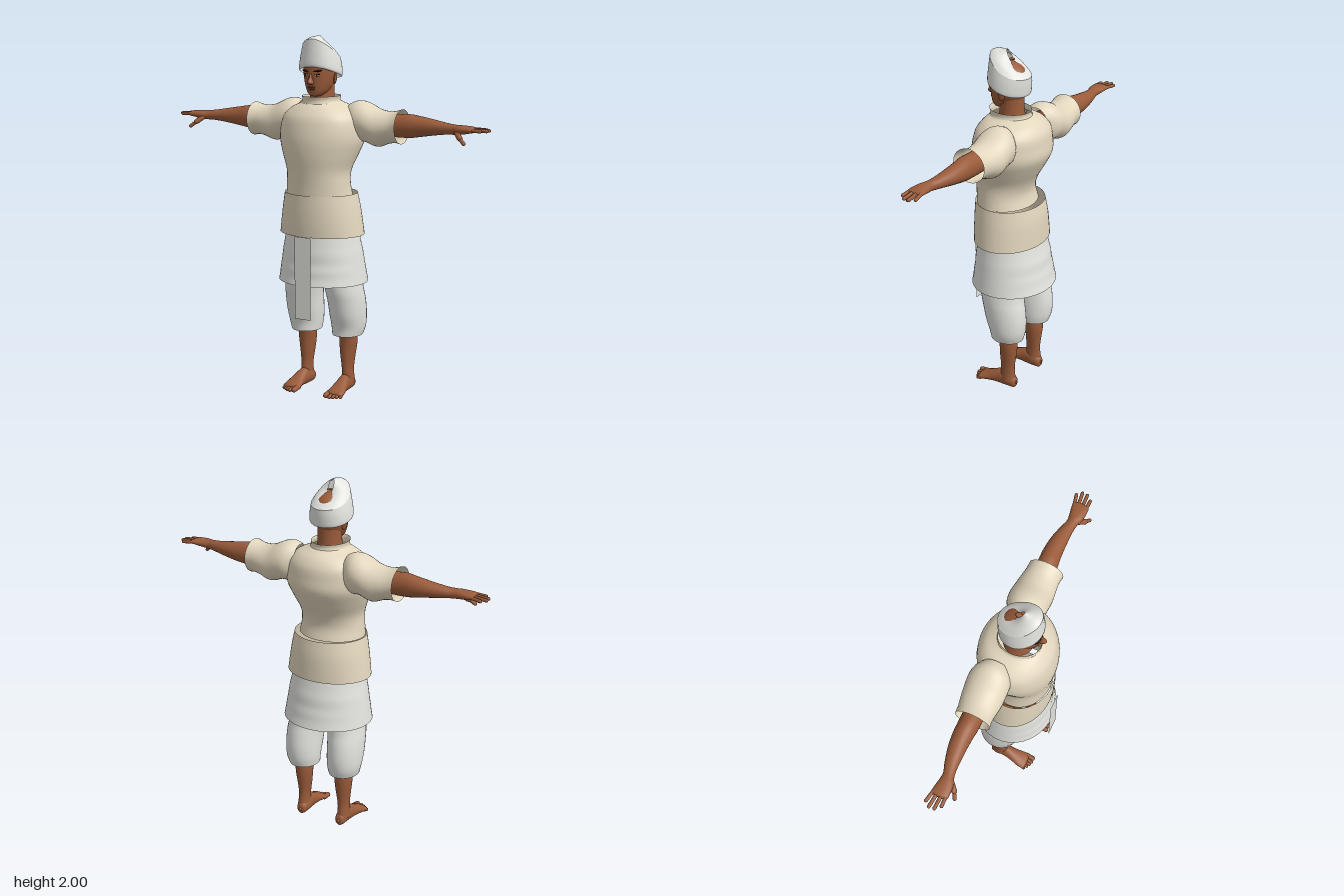
import * as THREE from 'three';

const mat = (name, color) => {
  const m = new THREE.MeshStandardMaterial({ color, side: THREE.DoubleSide });
  m.name = name;
  return m;
};

// Catmull-Rom between whole rings
function smoothRings(rings, steps) {
  const out = [], n = rings.length - 1;
  for (let i = 0; i < n; i++) {
    const [p, q, r, s] = [i - 1, i, i + 1, i + 2].map(k => rings[Math.min(n, Math.max(0, k))]);
    for (let j = 0; j < steps; j++) {
      const t = j / steps;
      out.push(q.map((b, k) => b + 0.5 * t * ((r[k] - p[k])
        + t * (2 * p[k] - 5 * b + 4 * r[k] - s[k] + t * (3 * (b - r[k]) + s[k] - p[k])))));
    }
  }
  out.push(rings[n]);
  return out;
}

// Skin of elliptical rings [t, cu, cv, ru, rv, tilt, bow]; the axis t runs along y, x or z
function loft(rings, { axis = 'y', steps = 4, seg = 32 } = {}) {
  const rows = smoothRings(rings, steps), pos = [], idx = [];
  rows.forEach(([t, cu, cv, ru, rv, tilt = 0, bow = 0], r) => {
    for (let i = 0; i < seg; i++) {
      const a = i / seg * Math.PI * 2, c = Math.cos(a);
      const u = cu + Math.max(ru, 0.0005) * Math.sin(a), v = cv + Math.max(rv, 0.0005) * c;
      const w = t + tilt * c + bow * c * c;
      if (axis === 'y') pos.push(u, w, v);
      else if (axis === 'x') pos.push(w, v, u);
      else pos.push(v, u, w);
      if (r < rows.length - 1) {
        const A = r * seg + i, B = r * seg + (i + 1) % seg;
        idx.push(A, B, B + seg, A, B + seg, A + seg);
      }
    }
  });
  const g = new THREE.BufferGeometry();
  g.setAttribute('position', new THREE.Float32BufferAttribute(pos, 3));
  g.setIndex(idx);
  g.computeVertexNormals();
  return g;
}

export function createModel() {
  const skin = mat('skin', 0x9a5b3a), cream = mat('cream cloth', 0xe2d6bd);
  const white = mat('white cloth', 0xe2e2de), dark = mat('dark hair', 0x1e1410);
  const lip = mat('lips', 0x7d4530), eyeWhite = mat('eye white', 0xd8cfc4);
  const root = new THREE.Group();

  const add = (parent, name, geo, material) => {
    const m = new THREE.Mesh(geo, material);
    m.name = name;
    parent.add(m);
    return m;
  };
  const blob = (parent, name, material, [x, y, z], [sx, sy, sz], rz = 0, ry = 0) => {
    const m = add(parent, name, new THREE.SphereGeometry(1, 16, 12), material);
    m.position.set(x, y, z);
    m.scale.set(sx, sy, sz);
    m.rotation.set(0, ry, rz);
    return m;
  };
  const digit = (parent, name, from, to, r) => {
    const a = new THREE.Vector3(...from), d = new THREE.Vector3(...to).sub(a);
    const m = add(parent, name, new THREE.CapsuleGeometry(r, d.length(), 4, 10), skin);
    m.position.copy(a).addScaledVector(d, 0.5);
    m.quaternion.setFromUnitVectors(new THREE.Vector3(0, 1, 0), d.normalize());
  };

  // Tunic body with collar, waist wrap and skirt
  add(root, 'tunic', loft([
    [1.13, 0, 0.04, 0.19, 0.16], [1.2, 0, 0.05, 0.182, 0.153], [1.27, 0, 0.045, 0.183, 0.165],
    [1.35, 0, 0.028, 0.212, 0.192], [1.43, 0, 0.01, 0.238, 0.212], [1.5, 0, 0.006, 0.238, 0.206],
    [1.56, 0, 0.002, 0.222, 0.192], [1.605, 0, 0, 0.175, 0.16], [1.63, 0, 0.005, 0.118, 0.128],
    [1.64, 0, 0.015, 0.104, 0.117]], { seg: 48 }), cream);
  add(root, 'collar', loft([
    [1.63, 0, 0.015, 0.108, 0.12], [1.65, 0, 0.018, 0.1, 0.115], [1.67, 0, 0.02, 0.102, 0.12]],
  { seg: 48 }), cream);
  add(root, 'waistWrap', loft([
    [0.91, 0, 0.01, 0.245, 0.195], [0.98, 0, 0.013, 0.235, 0.196], [1.06, 0, 0.016, 0.222, 0.194],
    [1.14, 0, 0.022, 0.206, 0.186]], { seg: 48 }), cream);
  add(root, 'skirt', loft([
    [0.64, 0, -0.004, 0.256, 0.23], [0.68, 0, -0.003, 0.25, 0.22], [0.72, 0, -0.001, 0.244, 0.215],
    [0.76, 0, 0, 0.238, 0.206], [0.81, 0, 0.002, 0.23, 0.202], [0.86, 0, 0.005, 0.22, 0.192],
    [0.93, 0, 0.008, 0.208, 0.18]], { seg: 48 }), white);

  // Hanging front panel
  add(root, 'frontPanel', new THREE.PlaneGeometry(0.1, 0.46), white).position.set(0, 0.685, 0.229);

  // Pelvis under the skirt
  add(root, 'pelvis', loft([
    [0.63, 0, -0.02, 0.02, 0.03], [0.66, 0, -0.02, 0.14, 0.09], [0.75, 0, -0.01, 0.18, 0.13],
    [0.95, 0, 0.01, 0.16, 0.13]]), skin);

  // Neck and head
  add(root, 'neck', loft([
    [1.6, 0, 0.01, 0.08, 0.08], [1.66, 0, 0.01, 0.067, 0.068], [1.74, 0, 0.01, 0.065, 0.065]]), skin);
  const head = new THREE.Group();
  head.name = 'head';
  root.add(head);
  add(head, 'skull', loft([
    [1.668, 0, 0.08, 0.004, 0.01], [1.674, 0, 0.08, 0.03, 0.038], [1.695, 0, 0.06, 0.054, 0.067],
    [1.725, 0, 0.044, 0.07, 0.088], [1.76, 0, 0.035, 0.08, 0.101], [1.8, 0, 0.031, 0.086, 0.109],
    [1.85, 0, 0.03, 0.086, 0.106], [1.9, 0, 0.025, 0.065, 0.08], [1.94, 0, 0.02, 0.004, 0.005]]), skin);
  add(head, 'nose', loft([
    [1.735, 0, 0.13, 0.003, 0.003], [1.739, 0, 0.138, 0.017, 0.02], [1.75, 0, 0.137, 0.016, 0.027],
    [1.77, 0, 0.134, 0.009, 0.018], [1.795, 0, 0.13, 0.008, 0.012]], { seg: 16 }), skin);
  blob(head, 'upperLip', lip, [0, 1.72, 0.129], [0.024, 0.005, 0.009]);
  blob(head, 'lowerLip', lip, [0, 1.711, 0.126], [0.02, 0.006, 0.01]);
  blob(head, 'chin', skin, [0, 1.686, 0.103], [0.025, 0.016, 0.022]);
  for (const s of [1, -1]) {
    blob(head, 'eye', eyeWhite, [s * 0.035, 1.785, 0.128], [0.014, 0.006, 0.006], 0, s * 0.3);
    blob(head, 'iris', dark, [s * 0.034, 1.785, 0.131], [0.006, 0.006, 0.005]);
    blob(head, 'upperLid', dark, [s * 0.036, 1.791, 0.129], [0.017, 0.0025, 0.006], s * -0.06, s * 0.3);
    blob(head, 'eyebrow', dark, [s * 0.038, 1.808, 0.129], [0.025, 0.005, 0.007], s * 0.14, s * 0.35);
    blob(head, 'ear', skin, [s * 0.086, 1.765, 0.02], [0.009, 0.032, 0.018], s * -0.15, s * 0.3);
  }

  // Wrapped cap: tilted band and folded crown
  const cap = new THREE.Group();
  cap.name = 'cap';
  root.add(cap);
  add(cap, 'capBand', loft([
    [1.787, 0, 0.027, 0.113, 0.113, 0.035, 0.008], [1.8, 0, 0.027, 0.119, 0.118, 0.036, 0.009],
    [1.85, 0, 0.022, 0.112, 0.118, 0.045, 0.014], [1.895, 0, 0.018, 0.101, 0.115, 0.06, 0.024]],
  { seg: 40 }), white);
  add(cap, 'capCrown', loft([
    [1.895, 0, 0.018, 0.101, 0.115, 0.06, 0.024], [1.925, 0, 0.02, 0.076, 0.088, 0.052, 0.012],
    [1.945, 0, 0.022, 0.045, 0.052, 0.043, 0.004], [1.957, 0, 0.02, 0.014, 0.022, 0.04, 0]],
  { seg: 40 }), white);
  blob(cap, 'crownOpening', skin, [0, 1.946, 0.012], [0.014, 0.004, 0.018]);

  // One side: arm with sleeve, leg with trouser
  const side = new THREE.Group();
  side.name = 'leftLimbs';
  root.add(side);
  add(side, 'sleeve', loft([
    [0.155, -0.04, 1.53, 0.08, 0.1], [0.2, -0.045, 1.533, 0.105, 0.113], [0.25, -0.047, 1.53, 0.112, 0.108],
    [0.32, -0.047, 1.503, 0.11, 0.103], [0.38, -0.045, 1.507, 0.102, 0.088], [0.425, -0.042, 1.513, 0.096, 0.086],
    [0.462, -0.038, 1.516, 0.098, 0.094]], { axis: 'x' }), cream);
  add(side, 'arm', loft([
    [0.2, -0.045, 1.53, 0.07, 0.07], [0.4, -0.045, 1.52, 0.058, 0.062], [0.5, -0.045, 1.522, 0.055, 0.064],
    [0.56, -0.048, 1.522, 0.052, 0.056], [0.64, -0.045, 1.522, 0.046, 0.043], [0.72, -0.035, 1.521, 0.036, 0.031],
    [0.77, -0.024, 1.52, 0.031, 0.027], [0.81, -0.018, 1.521, 0.04, 0.025], [0.86, -0.02, 1.524, 0.046, 0.019],
    [0.885, -0.022, 1.524, 0.044, 0.014], [0.895, -0.022, 1.524, 0.02, 0.006]], { axis: 'x', seg: 24 }), skin);
  [[-0.056, -0.07, 0.935], [-0.034, -0.044, 0.957], [-0.011, -0.015, 0.955], [0.012, 0.013, 0.93]]
    .forEach(([z0, z1, x], i) => digit(side, 'finger' + (i + 1), [0.87, 1.526, z0], [x, 1.522, z1], 0.0095));
  digit(side, 'thumbBase', [0.795, 1.508, 0.002], [0.825, 1.482, 0.03], 0.015);
  digit(side, 'thumbTip', [0.825, 1.482, 0.03], [0.855, 1.457, 0.046], 0.01);

  add(side, 'trouserLeg', loft([
    [0.33, 0.132, -0.047, 0.084, 0.096], [0.38, 0.136, -0.052, 0.095, 0.106], [0.45, 0.137, -0.042, 0.1, 0.121],
    [0.53, 0.135, -0.028, 0.101, 0.127], [0.6, 0.128, -0.012, 0.101, 0.13], [0.72, 0.112, 0, 0.1, 0.135]]), white);
  add(side, 'leg', loft([
    [0.045, 0.133, -0.056, 0.036, 0.046], [0.09, 0.133, -0.05, 0.032, 0.045], [0.14, 0.132, -0.05, 0.033, 0.043],
    [0.2, 0.131, -0.052, 0.041, 0.048], [0.27, 0.132, -0.055, 0.05, 0.052], [0.34, 0.133, -0.05, 0.053, 0.055],
    [0.45, 0.13, -0.03, 0.06, 0.065], [0.7, 0.11, -0.01, 0.085, 0.1]], { seg: 24 }), skin);
  add(side, 'foot', loft([
    [-0.106, 0.035, 0.13, 0.008, 0.008], [-0.098, 0.036, 0.13, 0.032, 0.026], [-0.06, 0.045, 0.13, 0.044, 0.034],
    [-0.01, 0.05, 0.132, 0.05, 0.034], [0.04, 0.041, 0.136, 0.037, 0.04], [0.09, 0.028, 0.139, 0.024, 0.05],
    [0.125, 0.02, 0.139, 0.017, 0.05], [0.135, 0.017, 0.139, 0.006, 0.03]], { axis: 'z', seg: 24 }), skin);
  [[0.1, 0.155, 0.015], [0.124, 0.158, 0.011], [0.143, 0.151, 0.0105], [0.161, 0.142, 0.01], [0.178, 0.129, 0.01]]
    .forEach(([x, z, r], i) => digit(side, 'toe' + (i + 1), [x, r + 0.006, 0.11], [x + 0.003, r + 0.001, z], r));

  // Mirror to the other side
  const other = side.clone();
  other.name = 'rightLimbs';
  other.scale.x = -1;
  root.add(other);
  return root;
}
